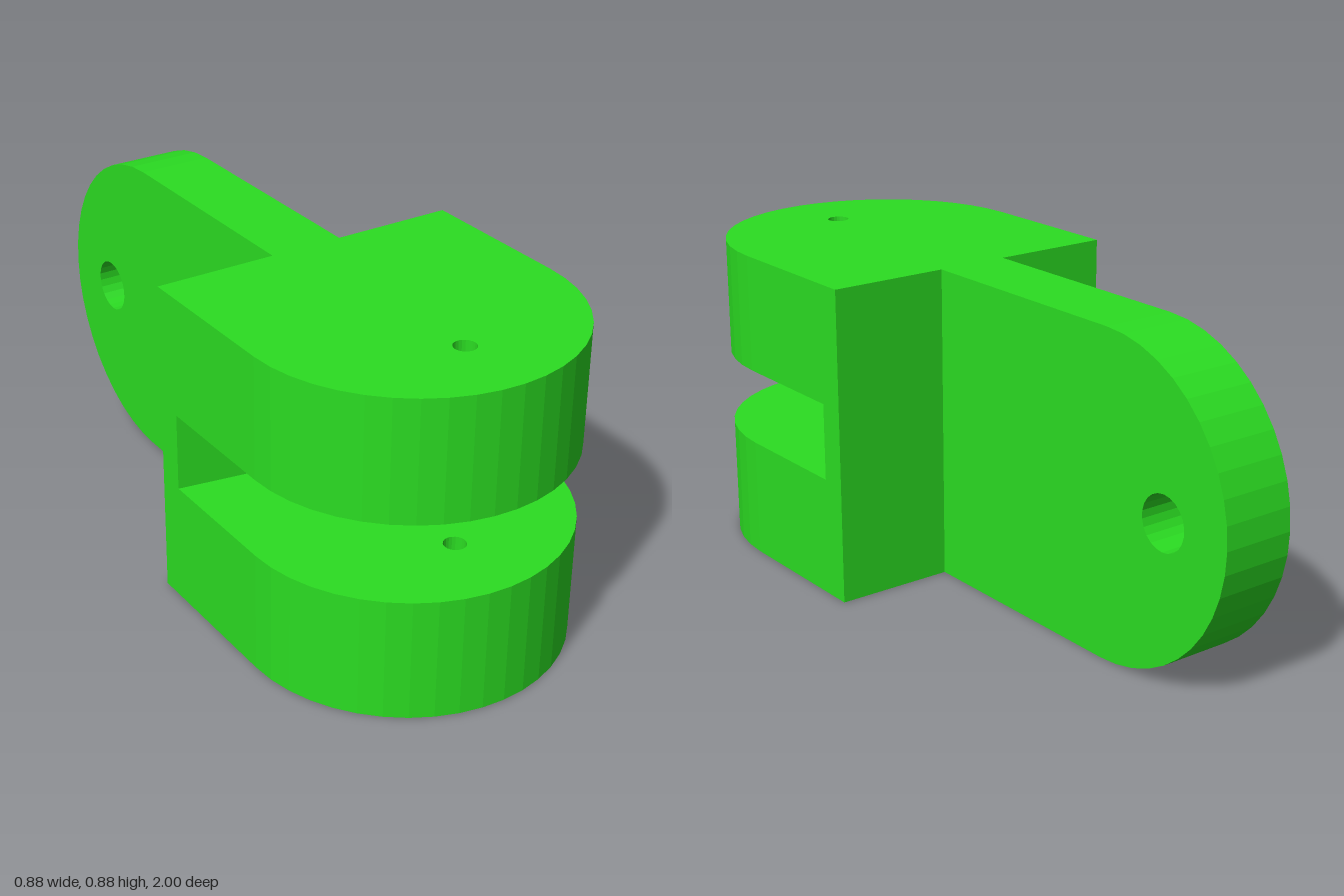
import * as THREE from 'three';

const R = 0.44;        // half width and end radius
const ARC_Z = 0.56;    // distance of the rounded end's centre from the middle
const PIN_Z = 0.78;    // distance of the pin holes from the middle
const BACK_Z = 0.115;  // rear face of the fork block
const SLOT = [0.335, 0.55];

// Plate with a square start, a half-round end and a pin hole, lying flat with its top at y = 0
function plate(start, thickness, holeRadius) {
  const shape = new THREE.Shape();
  shape.moveTo(-R, start);
  shape.lineTo(R, start);
  shape.absarc(0, ARC_Z, R, 0, Math.PI, false);
  shape.closePath();
  const hole = new THREE.Path();
  hole.absarc(0, PIN_Z, holeRadius, 0, Math.PI * 2, true);
  shape.holes.push(hole);
  return extrudeDown(shape, thickness);
}

// Extrude an (x, z) outline downwards from y = 0
function extrudeDown(shape, thickness) {
  return new THREE.ExtrudeGeometry(shape, { depth: thickness, bevelEnabled: false, curveSegments: 11 })
    .rotateX(Math.PI / 2);
}

export function createModel() {
  const group = new THREE.Group();
  const material = new THREE.MeshStandardMaterial({ color: 0x2bdd22, flatShading: true });
  const add = (name, geometry) => {
    const mesh = new THREE.Mesh(geometry, material);
    mesh.name = name;
    group.add(mesh);
  };

  // Two fork prongs, above and below the slot
  add('lowerProng', plate(BACK_Z, SLOT[0], 0.03).translate(0, SLOT[0], 0));
  add('upperProng', plate(BACK_Z, 2 * R - SLOT[1], 0.03).translate(0, 2 * R, 0));

  // Web behind the slot, its front coming to a shallow ridge
  const web = new THREE.Shape([[-R, BACK_Z], [R, BACK_Z], [R, 0.19], [0, 0.265], [-R, 0.19]]
    .map(([x, z]) => new THREE.Vector2(x, z)));
  add('forkWeb', extrudeDown(web, SLOT[1] - SLOT[0]).translate(0, SLOT[1], 0));

  // Upright tongue reaching backwards, with a larger cross hole
  const tongueWidth = 0.206;
  add('tongue', plate(-BACK_Z, tongueWidth, 0.075)
    .translate(0, tongueWidth / 2, 0)
    .rotateZ(Math.PI / 2)
    .rotateY(Math.PI)
    .translate(0, R, 0));

  return group;
}
